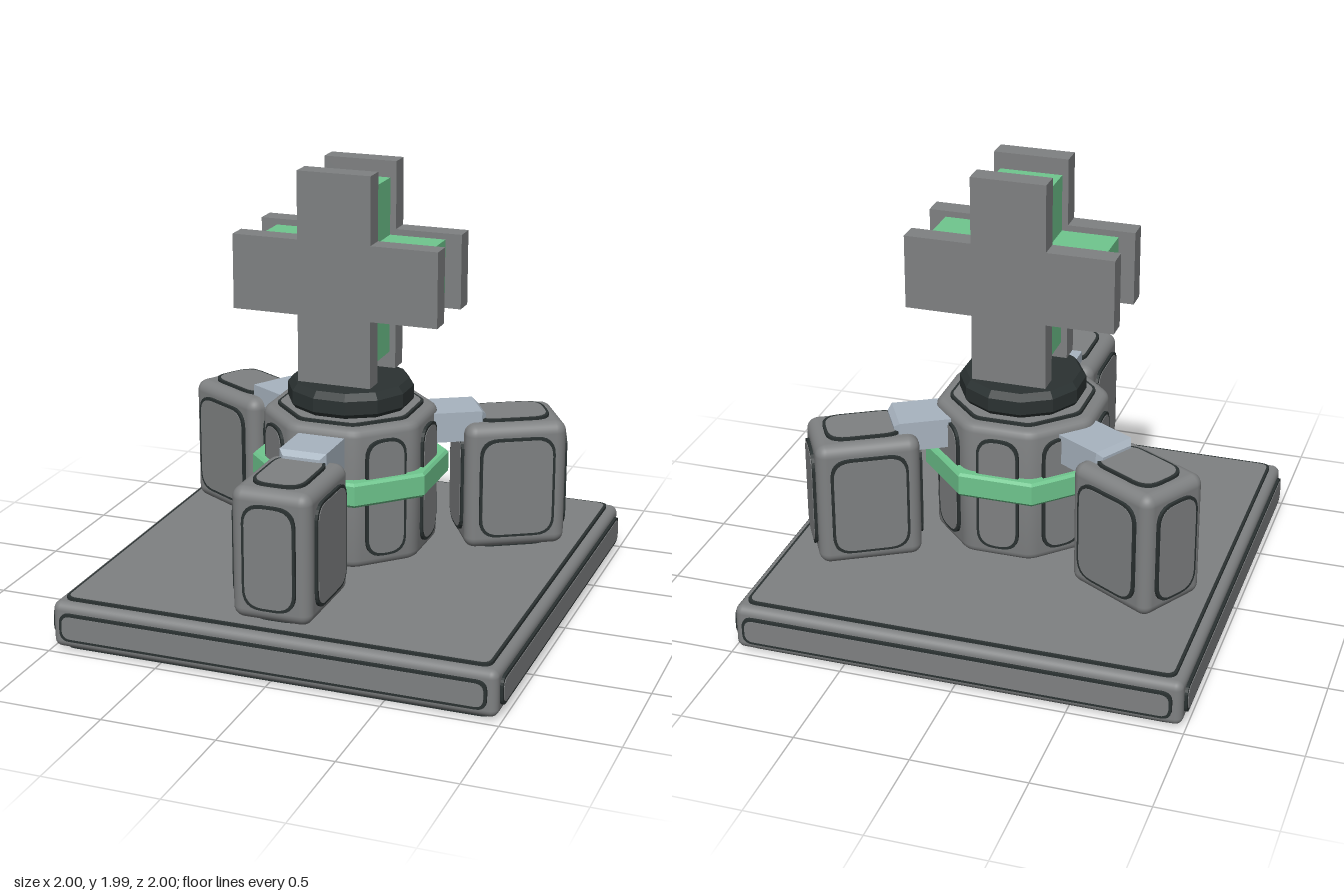
import * as THREE from 'three';
import { toCreasedNormals } from 'three/addons/utils/BufferGeometryUtils.js';
import { RoundedBoxGeometry } from 'three/addons/geometries/RoundedBoxGeometry.js';

const material = (name, color) => {
  const m = new THREE.MeshStandardMaterial({ color });
  m.name = name;
  return m;
};

export function createModel() {
  const grey = material('grey metal', 0x7f8182);
  const dark = material('dark trim', 0x2b3232);
  const green = material('green', 0x6fc68e);
  const steel = material('light steel', 0xa8b4c0);

  const model = new THREE.Group();
  model.name = 'beacon';

  const add = (parent, name, geometry, mat, x = 0, y = 0, z = 0) => {
    const mesh = new THREE.Mesh(geometry, mat);
    mesh.name = name;
    mesh.position.set(x, y, z);
    parent.add(mesh);
    return mesh;
  };

  // Polygon outline with softened corners
  const roundedShape = (points, r) => {
    const shape = new THREE.Shape();
    points.forEach((p, i) => {
      const prev = points[(i + points.length - 1) % points.length];
      const next = points[(i + 1) % points.length];
      const a = p.clone().add(prev.clone().sub(p).setLength(r));
      const b = p.clone().add(next.clone().sub(p).setLength(r));
      if (i === 0) shape.moveTo(a.x, a.y);
      else shape.lineTo(a.x, a.y);
      shape.quadraticCurveTo(p.x, p.y, b.x, b.y);
    });
    shape.closePath();
    return shape;
  };
  const rect = (w, h) => [[-1, -1], [1, -1], [1, 1], [-1, 1]]
    .map(([x, y]) => new THREE.Vector2(x * w / 2, y * h / 2));
  const octagon = (apothem) => Array.from({ length: 8 }, (_, i) => {
    const a = (i + 0.5) * Math.PI / 4;
    const r = apothem / Math.cos(Math.PI / 8);
    return new THREE.Vector2(r * Math.cos(a), r * Math.sin(a));
  });
  const plate = (shape, depth) =>
    new THREE.ExtrudeGeometry(shape, { depth, bevelEnabled: false, curveSegments: 6 });

  // Raised panel facing +z: dark rim with a grey face inside it
  const RIM = 0.012;
  const panel = (outer, inner) => {
    const g = new THREE.Group();
    g.name = 'panel';
    add(g, 'panelRim', plate(outer, 0.018), dark, 0, 0, -0.005);
    add(g, 'panelFace', plate(inner, 0.005), grey, 0, 0, 0.0105);
    return g;
  };
  const rectPanel = (w, h, r) => panel(
    roundedShape(rect(w, h), r),
    roundedShape(rect(w - 2 * RIM, h - 2 * RIM), r - RIM / 2));

  // Rounded box with a panel on each of its six faces
  const panelledBox = (name, w, h, d, radius, inset, corner) => {
    const g = new THREE.Group();
    g.name = name;
    add(g, name + 'Shell', new RoundedBoxGeometry(w, h, d, 4, radius), grey);
    for (let i = 0; i < 4; i++) {
      const [pw, dist] = i % 2 ? [d, w / 2] : [w, d / 2];
      const side = rectPanel(pw - 2 * inset, h - 2 * inset, corner);
      side.rotation.y = i * Math.PI / 2;
      side.translateZ(dist);
      g.add(side);
    }
    for (const s of [1, -1]) {
      const cap = rectPanel(w - 2 * inset, d - 2 * inset, corner);
      cap.rotation.x = -s * Math.PI / 2;
      cap.translateZ(h / 2);
      g.add(cap);
    }
    return g;
  };

  // Faceted turned part with a flat side towards the front; radii are to the flats
  const faceted = (profile, sides) => {
    const k = 1 / Math.cos(Math.PI / sides);
    const points = profile.map(([r, y]) => new THREE.Vector2(r * k, y));
    const g = new THREE.LatheGeometry(points, sides, Math.PI / sides).toNonIndexed();
    g.computeVertexNormals();
    return g;
  };

  // Base slab
  const base = panelledBox('base', 1.972, 0.206, 1.972, 0.035, 0.04, 0.045);
  base.position.y = 0.1155;
  model.add(base);

  // Octagonal core with panels on its sides, top and bottom
  const core = new THREE.Group();
  core.name = 'core';
  model.add(core);
  const bevel = 0.035;
  const shell = new THREE.ExtrudeGeometry(roundedShape(octagon(0.357 - bevel), 0.025), {
    depth: 0.63 - 2 * bevel, bevelThickness: bevel, bevelSize: bevel, bevelSegments: 4, curveSegments: 4,
  });
  shell.rotateX(-Math.PI / 2);
  add(core, 'coreShell', toCreasedNormals(shell, 0.6), grey, 0, 0.285 + bevel, 0);
  for (let i = 0; i < 8; i++) {
    const p = rectPanel(0.19, 0.53, 0.08);
    p.rotation.y = i * Math.PI / 4;
    p.position.y = 0.6;
    p.translateZ(0.357);
    core.add(p);
  }
  for (const s of [1, -1]) {
    const cap = panel(roundedShape(octagon(0.3), 0.03), roundedShape(octagon(0.3 - RIM), 0.03));
    cap.rotation.x = -s * Math.PI / 2;
    cap.position.y = 0.6 + s * 0.315;
    core.add(cap);
  }

  // Green band around the core
  add(model, 'band', faceted([
    [0.35, 0.585], [0.39, 0.585], [0.4, 0.597], [0.4, 0.683], [0.39, 0.695], [0.35, 0.695], [0.35, 0.585],
  ], 8), green);

  // Turntable and neck
  add(model, 'turntable', faceted([
    [0, 0.92], [0.245, 0.92], [0.268, 0.95], [0.268, 1.01], [0.245, 1.04], [0, 1.04],
  ], 12), dark);
  add(model, 'neck', faceted([
    [0, 1.03], [0.11, 1.03], [0.11, 1.15], [0, 1.15],
  ], 12), steel);

  // Three pods, each joined to the core by a chamfered arm
  const c = 0.022;
  for (let i = 0; i < 3; i++) {
    const unit = new THREE.Group();
    unit.name = 'podUnit';
    unit.rotation.y = i * Math.PI * 2 / 3;
    const pod = panelledBox('pod', 0.35, 0.575, 0.455, 0.05, 0.058, 0.085);
    pod.position.set(0, 0.543, 0.715);
    unit.add(pod);
    const arm = new THREE.ExtrudeGeometry(new THREE.Shape(rect(0.21 - 2 * c, 0.135 - 2 * c)), {
      depth: 0.27 - 2 * c, bevelThickness: c, bevelSize: c, bevelSegments: 1,
    });
    add(unit, 'arm', arm, steel, 0, 0.813, 0.32 + c);
    model.add(unit);
  }

  // Cross sign: green core between two grey plates
  const cross = (half, arm, length, depth) => {
    const pts = [];
    for (let i = 0; i < 4; i++) {
      const a = i * Math.PI / 2;
      for (const [x, y] of [[length, -arm], [length, arm], [arm, arm]]) {
        pts.push(new THREE.Vector2(x, y).rotateAround(new THREE.Vector2(), a));
      }
    }
    const g = plate(new THREE.Shape(pts), depth);
    g.translate(0, 0, half);
    return g;
  };
  const sign = new THREE.Group();
  sign.name = 'crossSign';
  sign.position.y = 1.523;
  model.add(sign);
  add(sign, 'crossCore', cross(-0.116, 0.138, 0.389, 0.232), green);
  add(sign, 'crossFrontPlate', cross(0.114, 0.165, 0.462, 0.093), grey);
  add(sign, 'crossBackPlate', cross(-0.207, 0.165, 0.462, 0.093), grey);

  return model;
}
